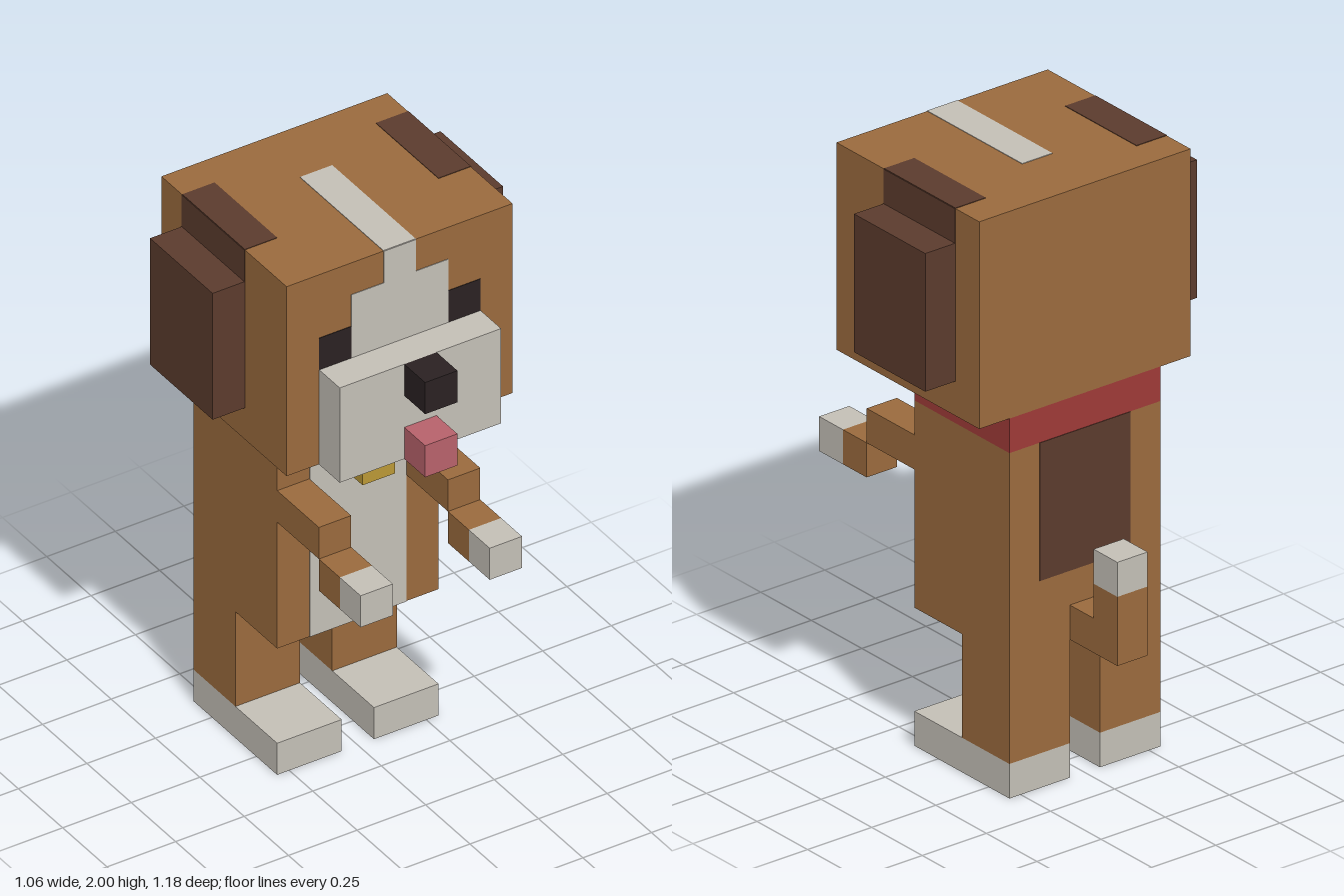
import * as THREE from 'three';

const U = 2 / 17; // one block; the figure is 17 blocks tall
const T = 0.002; // how far painted plates stand proud

const mat = (name, color) => {
  const m = new THREE.MeshStandardMaterial({ color });
  m.name = name;
  return m;
};

export function createModel() {
  const brown = mat('brown fur', 0x9a6a3d);
  const cream = mat('cream fur', 0xc3bfb6);
  const dark = mat('dark brown fur', 0x5b3b2d);
  const black = mat('black', 0x2a2122);
  const red = mat('red collar', 0x9e3a38);
  const gold = mat('gold tag', 0xb99736);
  const pink = mat('pink tongue', 0xb7626b);

  const group = (name) => {
    const g = new THREE.Group();
    g.name = name;
    return g;
  };
  // Box given by its min and max corners in blocks
  const box = (parent, name, material, x, y, z, pad = [0, 0, 0]) => {
    const spans = [x, y, z];
    const size = spans.map(([a, b], i) => (b - a) * U + 2 * pad[i]);
    const mesh = new THREE.Mesh(new THREE.BoxGeometry(...size), material);
    mesh.position.set(...spans.map(([a, b]) => ((a + b) / 2) * U));
    mesh.name = name;
    parent.add(mesh);
    return mesh;
  };
  // Thin painted plate: the axis with a zero span gets the plate thickness
  const plate = (parent, name, material, x, y, z) =>
    box(parent, name, material, x, y, z, [x, y, z].map(([a, b]) => (a === b ? T : 0)));
  // Mirrored span for the model's left (+1) or right (-1)
  const side = (s, a, b) => (s > 0 ? [a, b] : [-b, -a]);

  const model = group('dog');
  const head = group('head');
  const body = group('body');
  const tail = group('tail');
  model.add(head, body, tail);

  // Head, muzzle and blaze
  box(head, 'skull', brown, [-3.5, 3.5], [11, 17], [-3, 3]);
  box(head, 'muzzle', cream, [-2.5, 2.5], [11, 14], [3, 4]);
  box(head, 'nose', black, [-0.5, 0.5], [13, 14], [4, 5]);
  box(head, 'tongue', pink, [-0.5, 0.5], [11, 12], [4, 5]);
  plate(head, 'foreheadPatch', cream, [-1.5, 1.5], [14, 16], [3, 3]);
  plate(head, 'foreheadStripe', cream, [-0.5, 0.5], [16, 17], [3, 3]);
  plate(head, 'crownStripe', cream, [-0.5, 0.5], [17, 17], [-1, 3]);

  // Torso, collar and markings
  box(body, 'torso', brown, [-2.5, 2.5], [4, 10], [-3, 1]);
  box(body, 'collar', red, [-2.5, 2.5], [10, 11], [-3, 1]);
  box(body, 'tag', gold, [-0.5, 0.5], [9, 10], [1, 2]);
  plate(body, 'chestPatch', cream, [-1.5, 1.5], [4, 10], [1, 1]);
  plate(body, 'bellyPatch', cream, [-1.5, 1.5], [4, 4], [0, 1]);
  plate(body, 'backPatch', dark, [-1.5, 1.5], [6, 10], [-3, -3]);

  // Tail
  box(tail, 'tailBase', brown, [-0.5, 0.5], [4, 5], [-5, -3]);
  box(tail, 'tailUpright', brown, [-0.5, 0.5], [5, 6], [-5, -4]);
  box(tail, 'tailTip', cream, [-0.5, 0.5], [6, 7], [-5, -4]);

  // Paired parts
  for (const s of [1, -1]) {
    const tag = s > 0 ? 'left' : 'right';
    box(head, tag + 'Ear', dark, side(s, 3.5, 4.5), [12, 16], [-2, 1]);
    plate(head, tag + 'EarSidePatch', dark, [s * 3.5, s * 3.5], [16, 17], [-2, 1]);
    plate(head, tag + 'EarTopPatch', dark, side(s, 2.5, 3.5), [17, 17], [-2, 1]);
    plate(head, tag + 'Eye', black, side(s, 1.5, 2.5), [14, 15], [3, 3]);

    const arm = group(tag + 'Arm');
    box(arm, 'upperArm', brown, side(s, 1.5, 2.5), [8, 9], [1, 3]);
    box(arm, 'forearm', brown, side(s, 1.5, 2.5), [7, 8], [3, 4]);
    box(arm, 'paw', cream, side(s, 1.5, 2.5), [7, 8], [4, 5]);

    const leg = group(tag + 'Leg');
    box(leg, 'shin', brown, side(s, 0.5, 2.5), [1, 4], [-3, -1]);
    box(leg, 'foot', cream, side(s, 0.5, 2.5), [0, 1], [-3, 1]);
    model.add(arm, leg);
  }
  return model;
}
